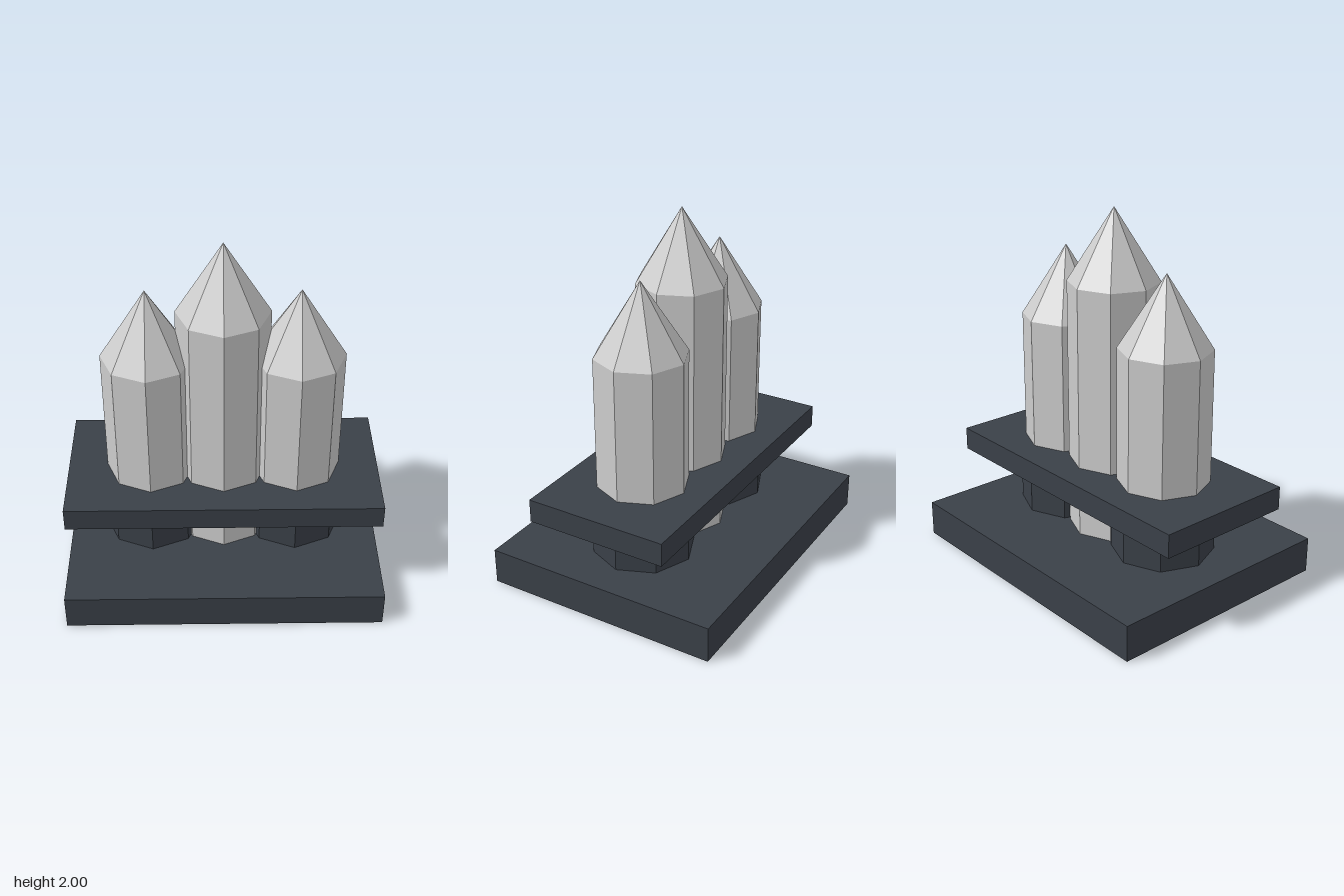
import * as THREE from 'three';

export function createModel() {
  const group = new THREE.Group();
  const slate = new THREE.MeshStandardMaterial({ color: 0x3a4048, flatShading: true });
  slate.name = 'dark slate';
  const paleGrey = new THREE.MeshStandardMaterial({ color: 0xcccccc, flatShading: true });
  paleGrey.name = 'pale grey';

  // Adds one part whose underside sits at height y
  const add = (name, geometry, material, x, y, height, parent = group) => {
    const mesh = new THREE.Mesh(geometry, material);
    mesh.name = name;
    mesh.position.set(x, y + height / 2, 0);
    parent.add(mesh);
  };

  // Base slab and the narrower shelf above it
  add('base', new THREE.BoxGeometry(1.73, 0.2, 1.33), slate, 0, 0, 0.2);
  add('shelf', new THREE.BoxGeometry(1.73, 0.13, 0.8), slate, 0, 0.47, 0.13);

  // Eight-sided sockets under the outer columns
  for (const [side, x] of [['left', 0.4], ['right', -0.4]]) {
    add(side + 'Socket', new THREE.CylinderGeometry(0.28, 0.28, 0.27, 8), slate, x, 0.2, 0.27);
  }

  // Eight-sided columns with pointed tips
  const columns = [
    ['leftColumn', 0.4, 0.6, 1.335],
    ['centreColumn', 0, 0.2, 1.605],
    ['rightColumn', -0.4, 0.6, 1.335],
  ];
  for (const [name, x, bottom, top] of columns) {
    const column = new THREE.Group();
    column.name = name;
    const h = top - bottom;
    add(name + 'Shaft', new THREE.CylinderGeometry(0.25, 0.25, h, 8, 1, true), paleGrey, x, bottom, h, column);
    add(name + 'Tip', new THREE.ConeGeometry(0.25, 0.395, 8, 1, true), paleGrey, x, top, 0.395, column);
    group.add(column);
  }
  return group;
}
